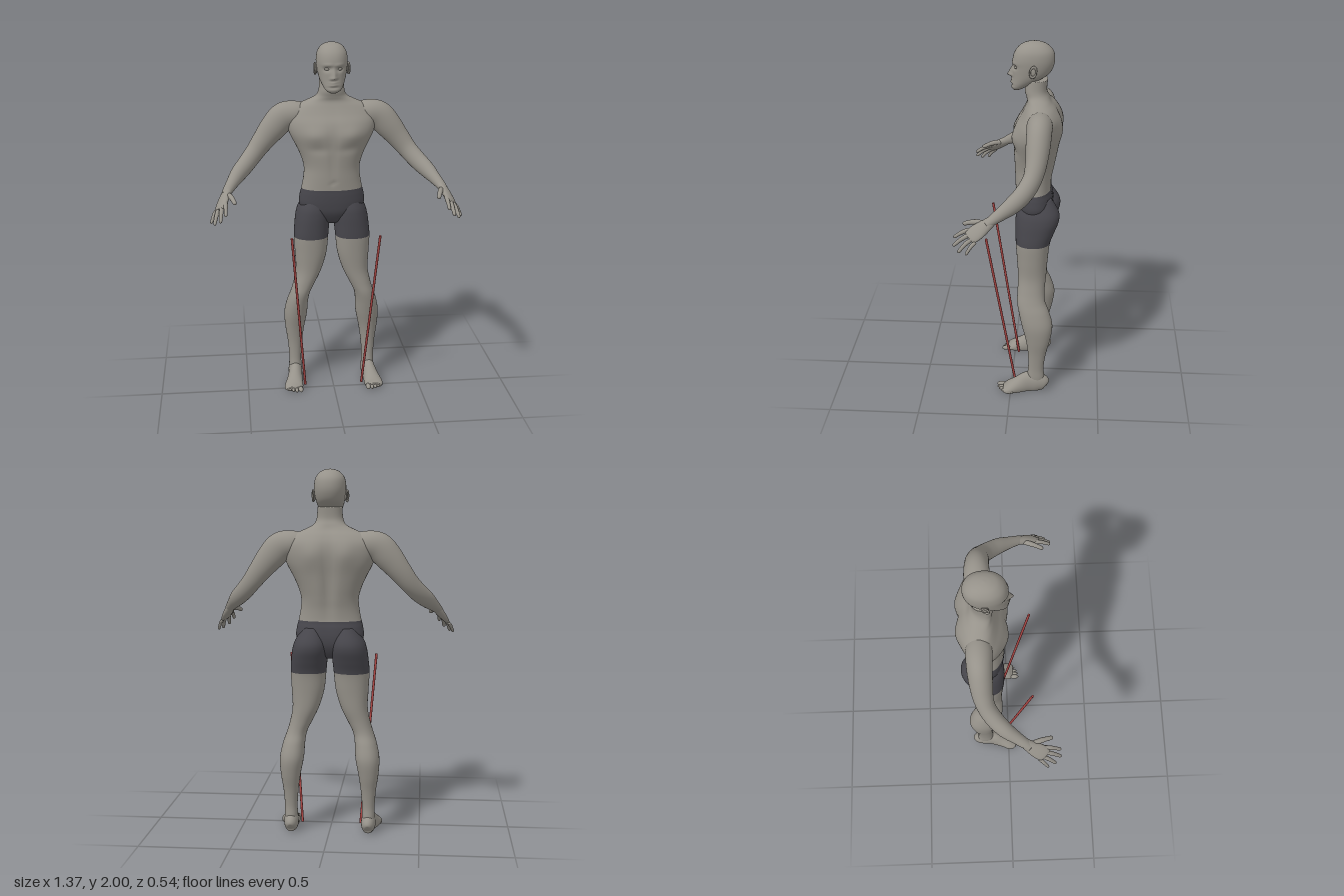
import * as THREE from 'three';

const N = 56; // points per cross-section
const STEPS = 6; // rows between two key sections
const bell = (v, c, w) => Math.exp(-(((v - c) / w) ** 2));
const V = (x, y, z) => new THREE.Vector3(x, y, z);

// Smoothly interpolates a list of key sections, number by number
function refine(keys, steps) {
  const out = [];
  for (let i = 0; i < keys.length - 1; i++) {
    const a = keys[Math.max(i - 1, 0)], b = keys[i], c = keys[i + 1], d = keys[Math.min(i + 2, keys.length - 1)];
    for (let s = 0; s < steps; s++) {
      const t = s / steps;
      out.push(b.map((_, k) => b[k] + 0.5 * t * (c[k] - a[k] + t * (2 * a[k] - 5 * b[k] + 4 * c[k] - d[k]
        + t * (3 * (b[k] - c[k]) + d[k] - a[k])))));
    }
  }
  out.push(keys[keys.length - 1]);
  return out;
}

// Closed skin over rings of points; an optional split row starts a second material group
function skinRings(rings, splitRow) {
  const n = rings[0].length, pos = [], index = [];
  rings.forEach((r) => r.forEach((p) => pos.push(p.x, p.y, p.z)));
  const last = (rings.length - 1) * n, tip = rings.length * n;
  for (const r of [rings[0], rings[rings.length - 1]]) {
    const c = r.reduce((s, p) => s.add(p), V(0, 0, 0)).divideScalar(n);
    pos.push(c.x, c.y, c.z);
  }
  for (let j = 0; j < n; j++) index.push(tip, j, (j + 1) % n);
  for (let i = 0; i < rings.length - 1; i++) {
    for (let j = 0; j < n; j++) {
      const a = i * n + j, b = i * n + ((j + 1) % n);
      index.push(a, a + n, b, b, a + n, b + n);
    }
  }
  for (let j = 0; j < n; j++) index.push(tip + 1, last + ((j + 1) % n), last + j);
  const g = new THREE.BufferGeometry();
  g.setAttribute('position', new THREE.Float32BufferAttribute(pos, 3));
  g.setIndex(index);
  if (splitRow) {
    const cut = n * 3 + splitRow * n * 6;
    g.addGroup(0, cut, 0);
    g.addGroup(cut, index.length - cut, 1);
  }
  g.computeVertexNormals();
  return g;
}

// Upright form from level sections [y, centre x, half width, front z, back z], bottom to top
function upright(keys, rule = () => {}, splitKey = 0, power = 0.92) {
  const rings = refine(keys, STEPS).map(([y, cx, hw, zf, zb]) => Array.from({ length: N }, (_, j) => {
    const t = (j / N) * Math.PI * 2, c = Math.cos(t), s = Math.sin(t);
    const p = V(cx + hw * Math.sign(c) * Math.abs(c) ** power, y,
      (zf + zb) / 2 + ((zf - zb) / 2) * Math.sign(s) * Math.abs(s) ** power);
    rule(p);
    return p;
  }));
  return skinRings(rings, splitKey * STEPS);
}

// Limb along a path of sections [x, y, z, radius along ref, radius across]
function limb(keys, ref, n = 28, rule = () => {}, steps = 5) {
  const rows = refine(keys, steps);
  return skinRings(rows.map(([x, y, z, rv, ru], i) => {
    const a = rows[Math.max(i - 1, 0)], b = rows[Math.min(i + 1, rows.length - 1)];
    const d = V(b[0] - a[0], b[1] - a[1], b[2] - a[2]).normalize();
    const v = ref.clone().addScaledVector(d, -ref.dot(d)).normalize();
    const u = d.clone().cross(v);
    return Array.from({ length: n }, (_, j) => {
      const t = (j / n) * Math.PI * 2;
      const p = V(x, y, z).addScaledVector(u, ru * Math.cos(t)).addScaledVector(v, rv * Math.sin(t));
      rule(p);
      return p;
    });
  }));
}

function ellipsoid(x, y, z, rx, ry, rz) {
  return new THREE.SphereGeometry(1, 20, 14).scale(rx, ry, rz).translate(x, y, z);
}

function mirrored(geo) {
  const g = geo.clone().scale(-1, 1, 1), ix = g.index;
  for (let i = 0; i < ix.count; i += 3) {
    const t = ix.getX(i);
    ix.setX(i, ix.getX(i + 1));
    ix.setX(i + 1, t);
  }
  return g;
}

export function createModel() {
  const model = new THREE.Group();
  const material = (name, color) => Object.assign(new THREE.MeshStandardMaterial({ color }), { name });
  const skin = material('skin', 0x96928a), cloth = material('shorts cloth', 0x47464c), red = material('red pole', 0xa94543);
  const add = (name, geo, mat) => {
    const m = new THREE.Mesh(geo, mat);
    m.name = name;
    model.add(m);
  };
  const pair = (name, geo, mat) => {
    add('left ' + name, geo, mat);
    add('right ' + name, mirrored(geo), mat);
  };

  // Trunk and neck, with chest, shoulder blades and spine groove; shorts below the waist
  add('trunk', upright([
    [0.98, 0, 0.04, -0.08, -0.16], [1.0, 0, 0.09, -0.055, -0.19], [1.05, 0, 0.16, -0.027, -0.218],
    [1.1, 0, 0.185, -0.018, -0.225], [1.15, 0, 0.181, -0.015, -0.22], [1.187, 0, 0.172, -0.015, -0.212],
    [1.25, 0, 0.16, -0.012, -0.216], [1.31, 0, 0.157, -0.01, -0.228], [1.37, 0, 0.173, -0.006, -0.24],
    [1.43, 0, 0.2, -0.002, -0.25], [1.5, 0, 0.235, -0.003, -0.26], [1.56, 0, 0.248, -0.018, -0.262],
    [1.61, 0, 0.24, -0.046, -0.253], [1.65, 0, 0.2, -0.065, -0.232], [1.68, 0, 0.135, -0.075, -0.208],
    [1.705, 0, 0.088, -0.07, -0.195], [1.74, 0, 0.071, -0.062, -0.182], [1.8, 0, 0.067, -0.07, -0.185],
  ], (p) => {
    const ax = Math.abs(p.x), y = p.y;
    if (p.z < -0.13) {
      p.z += 0.022 * bell(ax, 0, 0.03) * bell(y, 1.42, 0.2) - 0.013 * bell(ax, 0.09, 0.05) * bell(y, 1.55, 0.07);
    } else {
      p.z += 0.014 * bell(ax, 0.1, 0.06) * bell(y, 1.5, 0.045) - 0.008 * bell(ax, 0, 0.018) * bell(y, 1.42, 0.16)
        - 0.006 * bell(ax, 0.08, 0.06) * bell(y, 1.42, 0.025) - 0.006 * bell(ax, 0, 0.01) * bell(y, 1.23, 0.012);
    }
  }, 5), [cloth, skin]);

  // Head with brow, eye sockets, nose, lips and chin
  add('head', upright([
    [1.737, 0, 0.018, -0.002, -0.035], [1.75, 0, 0.04, 0.008, -0.06], [1.77, 0, 0.054, 0.008, -0.095],
    [1.8, 0, 0.068, 0.004, -0.15], [1.83, 0, 0.077, 0.003, -0.192], [1.87, 0, 0.084, 0.002, -0.214],
    [1.91, 0, 0.086, 0.002, -0.22], [1.95, 0, 0.079, -0.012, -0.211], [1.98, 0, 0.058, -0.04, -0.182],
    [1.995, 0, 0.031, -0.075, -0.147], [2.0, 0, 0.004, -0.107, -0.115],
  ], (p) => {
    if (p.z < -0.06) return;
    const ax = Math.abs(p.x), y = p.y;
    const ridge = y > 1.82 ? Math.max(0, 1 - (y - 1.82) / 0.055) : bell(y, 1.82, 0.009);
    p.z += 0.029 * ridge * bell(ax, 0, 0.012) + 0.008 * bell(ax, 0.013, 0.007) * bell(y, 1.817, 0.008)
      - 0.014 * bell(ax, 0.034, 0.018) * bell(y, 1.866, 0.012) + 0.006 * bell(ax, 0.03, 0.03) * bell(y, 1.888, 0.009)
      + 0.009 * bell(ax, 0, 0.02) * (bell(y, 1.795, 0.006) + bell(y, 1.781, 0.006))
      - 0.004 * bell(ax, 0, 0.03) * bell(y, 1.768, 0.006);
  }), skin);
  pair('eye', ellipsoid(0.034, 1.866, -0.021, 0.014, 0.008, 0.013), skin);

  // Ears: flat shell with a raised rim
  pair('ear', ellipsoid(0.086, 1.856, -0.108, 0.008, 0.028, 0.016), skin);
  pair('ear rim', new THREE.TorusGeometry(0.017, 0.005, 8, 24).scale(1, 1.6, 1).rotateY(Math.PI / 2 + 0.3)
    .rotateX(-0.15).translate(0.092, 1.857, -0.109), skin);

  // Legs, from ankle to hip, with shorts over the thigh
  pair('leg', upright([
    [0.04, 0.216, 0.033, -0.1, -0.192], [0.09, 0.216, 0.036, -0.095, -0.192], [0.15, 0.216, 0.035, -0.1, -0.188],
    [0.24, 0.216, 0.042, -0.098, -0.2], [0.33, 0.216, 0.055, -0.085, -0.222], [0.42, 0.21, 0.066, -0.062, -0.234],
    [0.5, 0.2, 0.061, -0.044, -0.214], [0.56, 0.185, 0.056, -0.034, -0.19], [0.62, 0.162, 0.061, -0.035, -0.186],
    [0.7, 0.135, 0.073, -0.036, -0.193], [0.8, 0.122, 0.09, -0.029, -0.2], [0.9, 0.119, 0.098, -0.022, -0.212],
    [0.97, 0.113, 0.099, -0.02, -0.238], [1.03, 0.106, 0.098, -0.02, -0.259], [1.08, 0.1, 0.088, -0.026, -0.254],
    [1.15, 0.09, 0.055, -0.05, -0.212],
  ], undefined, 11), [skin, cloth]);

  // Feet with flat soles, and toes
  pair('foot', limb([
    [0.215, 0.035, -0.208, 0.016, 0.014], [0.215, 0.042, -0.195, 0.042, 0.031], [0.216, 0.05, -0.15, 0.062, 0.04],
    [0.218, 0.046, -0.1, 0.066, 0.04], [0.225, 0.03, -0.05, 0.053, 0.045], [0.233, 0.018, 0, 0.037, 0.053],
    [0.236, 0.013, 0.025, 0.025, 0.051], [0.236, 0.012, 0.042, 0.014, 0.04],
  ], V(0, 1, 0), 32, (p) => { p.y = Math.max(p.y, 0); }), skin);
  for (let i = 0; i < 5; i++) {
    const r = i ? 0.0095 : 0.014;
    pair('toe ' + (i + 1), ellipsoid(0.197 + i * 0.0195 + (i ? 0.004 : 0), r, 0.052 - i * i * 0.0027, r, r, 0.028), skin);
  }

  // Arms from inside the shoulder to the wrist
  pair('arm', limb([
    [0.13, 1.6, -0.15, 0.055, 0.055], [0.2, 1.603, -0.15, 0.07, 0.068], [0.265, 1.585, -0.15, 0.08, 0.066],
    [0.32, 1.53, -0.147, 0.075, 0.063], [0.38, 1.457, -0.14, 0.062, 0.055], [0.43, 1.393, -0.122, 0.054, 0.048],
    [0.48, 1.337, -0.082, 0.051, 0.046], [0.525, 1.295, -0.03, 0.046, 0.042], [0.56, 1.259, 0.028, 0.034, 0.033],
    [0.583, 1.234, 0.07, 0.026, 0.028], [0.597, 1.215, 0.1, 0.02, 0.025],
  ], V(0, 1, 0), 36), skin);

  // Hands: palm, four spread fingers and a thumb
  const spread = V(0.7, -0.6, -0.4);
  pair('palm', limb([
    [0.58, 1.237, 0.065, 0.025, 0.022], [0.597, 1.212, 0.1, 0.034, 0.023], [0.614, 1.186, 0.14, 0.043, 0.019],
    [0.627, 1.164, 0.172, 0.041, 0.014], [0.632, 1.156, 0.183, 0.03, 0.008],
  ], spread), skin);
  const fingers = {
    'index finger': [[0.597, 1.189, 0.168], [0.599, 1.142, 0.263], 0.0105],
    'middle finger': [[0.617, 1.172, 0.17], [0.628, 1.108, 0.264], 0.011],
    'ring finger': [[0.636, 1.155, 0.163], [0.66, 1.087, 0.236], 0.0105],
    'little finger': [[0.65, 1.142, 0.148], [0.678, 1.084, 0.195], 0.009],
    thumb: [[0.582, 1.218, 0.11], [0.547, 1.195, 0.22], 0.013],
  };
  for (const [name, [root, tip, r]] of Object.entries(fingers)) {
    const at = (t, k) => [...root.map((c, i) => c + (tip[i] - c) * t + (i === 1 ? 0.035 * t * (1 - t) : 0)), r * k, r * k];
    pair(name, limb([at(0, 1), at(0.35, 1.1), at(0.65, 0.95), at(0.9, 0.85), at(0.97, 0.6), at(1, 0.15)], spread, 14, undefined, 3), skin);
  }

  // Leaning poles in front of the legs
  const top = V(0.244, 0.965, 0.132), foot = V(0.166, 0.008, -0.025), axis = top.clone().sub(foot);
  const pole = new THREE.CylinderGeometry(0.007, 0.007, axis.length(), 12);
  pole.applyQuaternion(new THREE.Quaternion().setFromUnitVectors(V(0, 1, 0), axis.clone().normalize()));
  pole.translate(...top.clone().add(foot).multiplyScalar(0.5).toArray());
  pair('pole', pole, red);

  return model;
}
